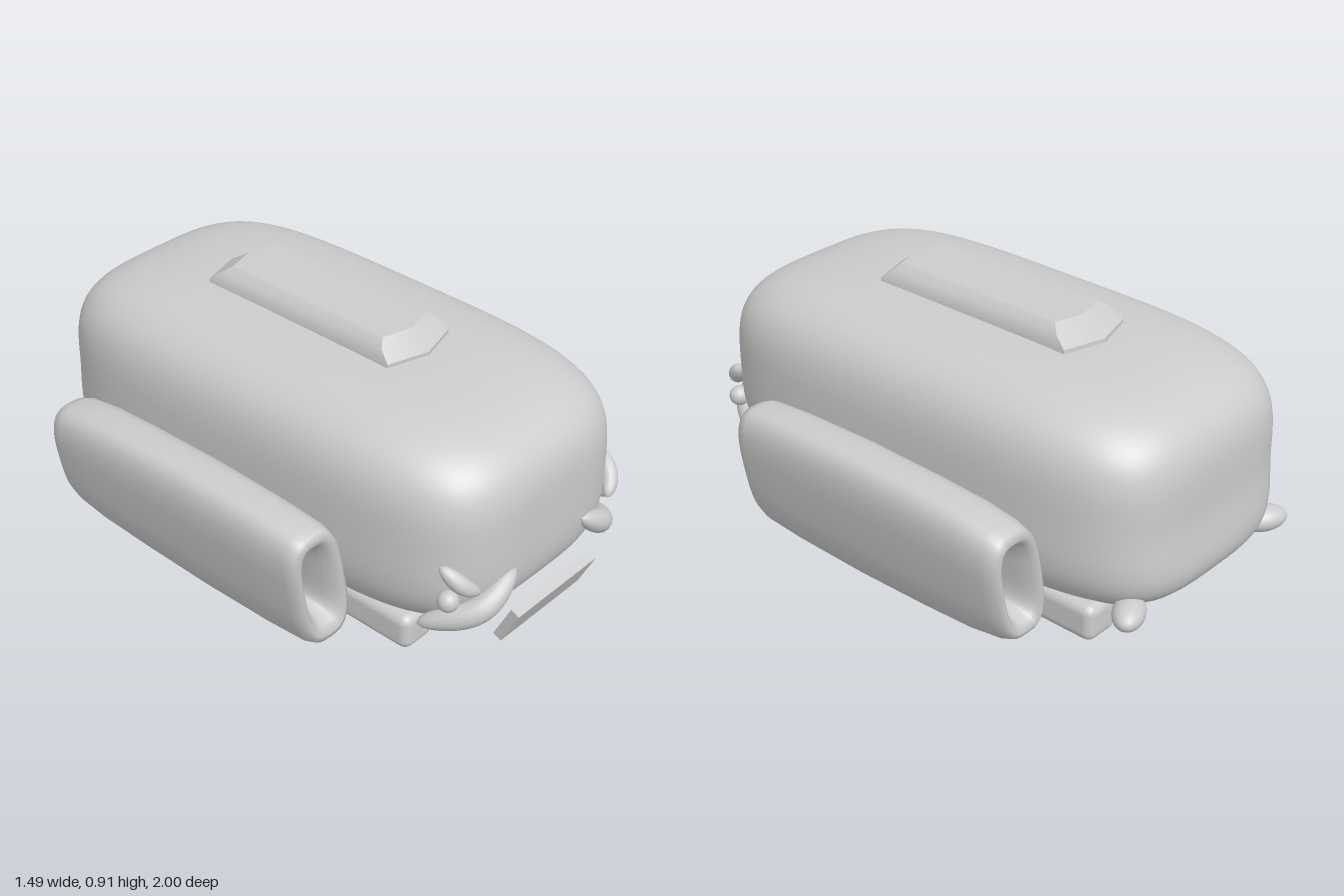
import * as THREE from 'three';
import { mergeVertices, toCreasedNormals } from 'three/addons/utils/BufferGeometryUtils.js';
import { RoundedBoxGeometry } from 'three/addons/geometries/RoundedBoxGeometry.js';

const material = new THREE.MeshStandardMaterial({ color: 0xcccccc });

// weld seams and smooth
function smooth(geo) {
  geo.deleteAttribute('uv');
  geo.deleteAttribute('normal');
  const g = mergeVertices(geo, 1e-5);
  g.computeVertexNormals();
  return g;
}

// skin closed rings of [x, y, z] points in order
function loft(rings) {
  const n = rings[0].length, index = [];
  for (let i = 0; i < rings.length - 1; i++) {
    for (let j = 0; j < n; j++) {
      const a = i * n + j, b = i * n + (j + 1) % n;
      index.push(a, a + n, b, b, a + n, b + n);
    }
  }
  const g = new THREE.BufferGeometry();
  g.setAttribute('position', new THREE.Float32BufferAttribute(rings.flat(2), 3));
  g.setIndex(index);
  g.computeVertexNormals();
  return g;
}

// mirror a geometry to the other side, keeping faces outward
function mirrored(geo) {
  const g = geo.clone();
  g.scale(-1, 1, 1);
  const ix = g.index.array;
  for (let i = 0; i < ix.length; i += 3) [ix[i], ix[i + 1]] = [ix[i + 1], ix[i]];
  return g;
}

// curved bar tapering to both ends
function spindle(points, radius) {
  const curve = new THREE.CatmullRomCurve3(points.map(p => new THREE.Vector3(...p)));
  const segs = 24, sides = 16;
  const g = new THREE.TubeGeometry(curve, segs, radius, sides);
  const pos = g.attributes.position, v = new THREE.Vector3();
  for (let i = 0; i < pos.count; i++) {
    const t = Math.floor(i / (sides + 1)) / segs, c = curve.getPointAt(t);
    const k = Math.max(0.02, Math.sqrt(1 - (2 * t - 1) ** 2));
    v.fromBufferAttribute(pos, i).sub(c).multiplyScalar(k).add(c);
    pos.setXYZ(i, v.x, v.y, v.z);
  }
  return smooth(g);
}

// soft squared body: a cube pushed onto a superellipsoid, fuller at the low rear
function bodyGeometry() {
  const g = new THREE.BoxGeometry(2, 2, 2, 28, 28, 28);
  const pos = g.attributes.position, p = 3.6, q = 4.2;
  for (let i = 0; i < pos.count; i++) {
    let x = pos.getX(i), y = pos.getY(i), z = pos.getZ(i);
    const r = (Math.abs(x) ** p + Math.abs(y) ** p) ** (q / p) + Math.abs(z) ** q;
    const k = r ** (-1 / q);
    x *= k; y *= k; z *= k;
    if (z < 0 && y < 0) z *= 1 + 0.12 * y * y;
    pos.setXYZ(i, x * 0.52, 0.455 + y * 0.385, -0.02 + z * 0.97);
  }
  return smooth(g);
}

// leaning side pod with a rounded lip and a recess at each end
function podGeometry() {
  // z, width scale, height scale
  const rows = [
    [0.15, 0, 0], [0.15, 0.26, 0.46], [0.38, 0.32, 0.48], [0.45, 0.4, 0.53], [0.49, 0.54, 0.64],
    [0.51, 0.72, 0.76], [0.5, 0.88, 0.86], [0.46, 0.96, 0.92], [0.3, 0.99, 0.97], [0, 1, 1],
    [-0.3, 1, 0.97], [-0.5, 1, 0.92], [-0.62, 0.96, 0.84], [-0.665, 0.88, 0.77], [-0.68, 0.72, 0.68],
    [-0.66, 0.54, 0.58], [-0.6, 0.4, 0.5], [-0.5, 0.32, 0.46], [-0.3, 0.26, 0.43], [-0.3, 0, 0],
  ];
  const n = 40, e = 2 / 3;
  return loft(rows.map(([z, su, sv]) => Array.from({ length: n }, (_, j) => {
    const a = j / n * Math.PI * 2, c = Math.cos(a), s = Math.sin(a);
    const u = Math.sign(c) * Math.abs(c) ** e * 0.123 * su;
    const v = Math.sign(s) * Math.abs(s) ** e * 0.268 * sv;
    return [0.605 + u + 0.18 * v, 0.272 + v, z];
  })));
}

// roof housing with pointed ends and bevelled sides
function roofGeometry() {
  const ring = (y, w, front, back, point) => [
    [w, y, front], [0, y, front + point], [-w, y, front],
    [-w, y, back], [0, y, back - point], [w, y, back],
  ];
  return toCreasedNormals(loft([
    ring(0.8, 0.155, 0.37, -0.46, 0.045), ring(0.85, 0.153, 0.37, -0.455, 0.045),
    ring(0.885, 0.138, 0.33, -0.41, 0.035), ring(0.91, 0.11, 0.31, -0.38, 0.03),
    ring(0.91, 0, 0, 0, 0),
  ]), 0.5);
}

export function createModel() {
  const model = new THREE.Group();
  model.name = 'vehicle';
  const add = (name, geo) => {
    const m = new THREE.Mesh(geo, material);
    m.name = name;
    model.add(m);
    return m;
  };
  const pair = (name, geo) => {
    add(name + 'Left', geo);
    add(name + 'Right', mirrored(geo));
  };

  add('body', bodyGeometry());
  add('roofHousing', roofGeometry());

  // tilted plate under the nose
  const plate = add('frontPlate', new THREE.BoxGeometry(0.42, 0.15, 0.035));
  plate.position.set(0, 0.128, 0.946);
  plate.rotation.x = 0.45;

  pair('sidePod', podGeometry());

  // rails along the lower edges
  const rail = smooth(new RoundedBoxGeometry(0.145, 0.135, 1.57, 4, 0.035));
  rail.translate(0.385, 0.105, -0.05);
  pair('rail', rail);

  // front lamps and brows
  pair('headlight', spindle([[0.175, 0.345, 0.945], [0.32, 0.25, 0.92], [0.44, 0.175, 0.76]], 0.046));
  pair('brow', spindle([[0.34, 0.335, 0.93], [0.39, 0.375, 0.9], [0.43, 0.44, 0.84]], 0.03));
  const ball = smooth(new THREE.SphereGeometry(0.037, 20, 14));
  ball.translate(0.415, 0.31, 0.865);
  pair('smallLamp', ball);

  // rear corner lamps
  const tail = smooth(new THREE.SphereGeometry(1, 24, 16));
  tail.scale(0.09, 0.045, 0.055);
  tail.rotateY(0.5);
  tail.translate(0.37, 0.165, -0.92);
  pair('tailLight', tail);

  return model;
}
